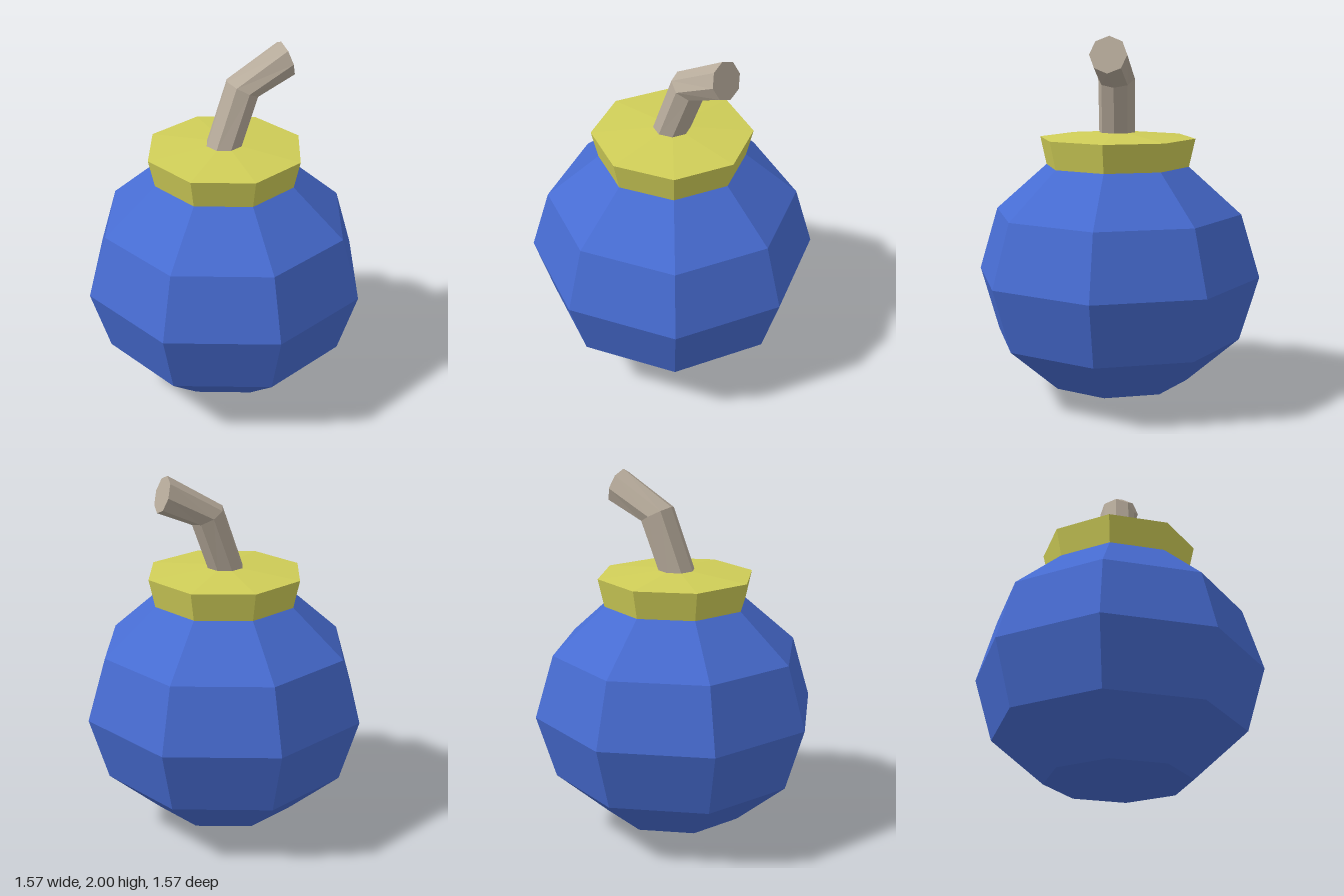
import * as THREE from 'three';

const SIDES = 8;

function material(name, color) {
  const m = new THREE.MeshStandardMaterial({ color, flatShading: true });
  m.name = name;
  return m;
}

function part(name, geometry, mat) {
  const flat = geometry.toNonIndexed();
  flat.computeVertexNormals();
  const mesh = new THREE.Mesh(flat, mat);
  mesh.name = name;
  return mesh;
}

// Faceted solid of revolution from [radius, height] pairs, bottom to top
function turned(profile) {
  return new THREE.LatheGeometry(profile.map(([r, y]) => new THREE.Vector2(r, y)), SIDES);
}

// Bent octagonal tube; each ring has a centre and a half-axis in the bend plane
function bentTube(rings, zRadius) {
  const positions = [];
  const index = [];
  for (const { c, h } of rings) {
    for (let i = 0; i < SIDES; i++) {
      const a = (i / SIDES) * Math.PI * 2;
      positions.push(
        c[0] + h[0] * Math.cos(a),
        c[1] + h[1] * Math.cos(a),
        c[2] + zRadius * Math.sin(a)
      );
    }
  }
  for (let r = 0; r < rings.length - 1; r++) {
    for (let i = 0; i < SIDES; i++) {
      const j = (i + 1) % SIDES;
      const a = r * SIDES + i, b = r * SIDES + j;
      index.push(a, b, b + SIDES, a, b + SIDES, a + SIDES);
    }
  }
  // flat end caps
  const last = (rings.length - 1) * SIDES;
  for (let i = 1; i < SIDES - 1; i++) {
    index.push(last, last + i, last + i + 1);
    index.push(0, i + 1, i);
  }
  const g = new THREE.BufferGeometry();
  g.setAttribute('position', new THREE.Float32BufferAttribute(positions, 3));
  g.setIndex(index);
  return g;
}

export function createModel() {
  const blue = material('body blue', 0x476cd2);
  const yellow = material('collar yellow', 0xd0ce58);
  const grey = material('fuse grey', 0xb8ac9c);

  const model = new THREE.Group();
  model.name = 'bomb';

  // Round faceted body
  model.add(part('body', turned([
    [0, 0], [0.395, 0.1], [0.683, 0.35], [0.787, 0.7], [0.683, 1.045], [0.395, 1.3],
  ]), blue));

  // Flared collar with a shallow conical top
  model.add(part('collar', turned([
    [0, 1.29], [0.395, 1.295], [0.43, 1.452], [0, 1.49],
  ]), yellow));

  // Fuse bending towards +x
  model.add(part('fuse', bentTube([
    { c: [-0.005, 1.475, 0], h: [-0.1, 0] },
    { c: [0.105, 1.775, -0.016], h: [-0.085, 0.045] },
    { c: [0.35, 1.905, -0.016], h: [-0.03, 0.095] },
  ], 0.099), grey));

  return model;
}
